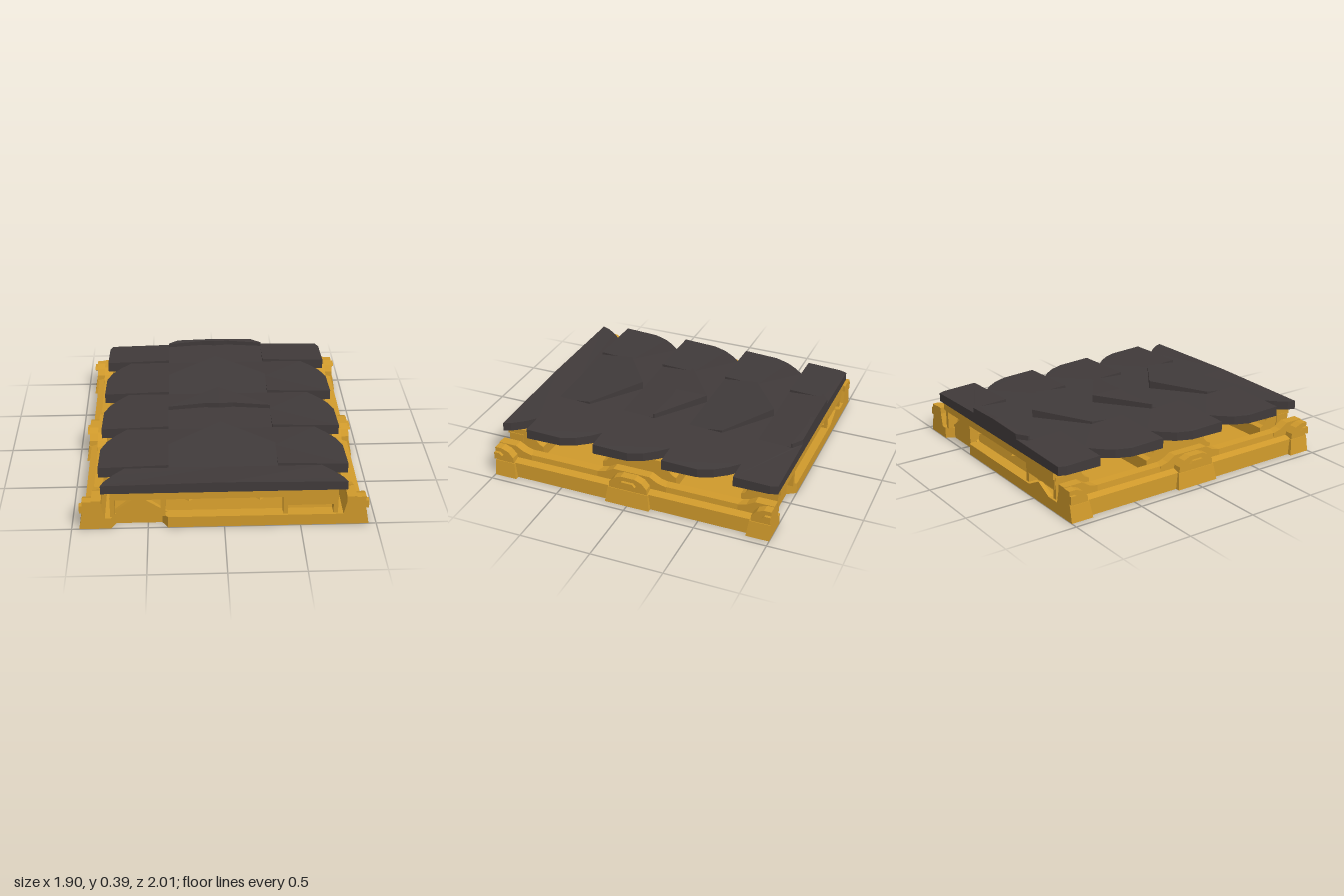
import * as THREE from 'three';

const gold = new THREE.MeshStandardMaterial({ color: 0xcf992b, flatShading: true });
gold.name = 'gold frame';
const dark = new THREE.MeshStandardMaterial({ color: 0x403a3a, flatShading: true });
dark.name = 'dark plates';

function add(parent, name, geometry, material) {
  const mesh = new THREE.Mesh(geometry, material);
  mesh.name = name;
  parent.add(mesh);
  return mesh;
}

function box(parent, name, x0, x1, y0, y1, z0, z1) {
  const g = new THREE.BoxGeometry(x1 - x0, y1 - y0, z1 - z0);
  g.translate((x0 + x1) / 2, (y0 + y1) / 2, (z0 + z1) / 2);
  return add(parent, name, g, gold);
}

const shapeOf = (pts) => new THREE.Shape(pts.map(([a, b]) => new THREE.Vector2(a, b)));
const extrude = (pts, depth) =>
  new THREE.ExtrudeGeometry(shapeOf(pts), { depth, bevelEnabled: false });

// Profile in (x, y), extruded along z
const alongZ = (pts, z0, z1) => extrude(pts, z1 - z0).translate(0, 0, z0);

// Profile in (z, y), extruded along x
const alongX = (pts, x0, x1) =>
  extrude(pts.map(([z, y]) => [-z, y]), x1 - x0).rotateY(Math.PI / 2).translate(x0, 0, 0);

// Outline in (x, z) with a flat bottom and a top height given by a rule
function slab(pts, bottom, top) {
  const g = extrude(pts.map(([x, z]) => [x, -z]), 1).rotateX(-Math.PI / 2);
  const p = g.attributes.position;
  for (let i = 0; i < p.count; i++) {
    p.setY(i, p.getY(i) > 0.5 ? top(p.getX(i), p.getZ(i)) : bottom);
  }
  g.computeVertexNormals();
  return g;
}

// Cut a polygon to lo <= coordinate <= hi on the given axis
function clip(pts, axis, lo, hi) {
  for (const [limit, s] of [[lo, 1], [hi, -1]]) {
    const out = [];
    pts.forEach((a, i) => {
      const b = pts[(i + 1) % pts.length];
      const da = s * (a[axis] - limit), db = s * (b[axis] - limit);
      if (da >= 0) out.push(a);
      if ((da > 0 && db < 0) || (da < 0 && db > 0)) {
        const t = da / (da - db);
        out.push([a[0] + t * (b[0] - a[0]), a[1] + t * (b[1] - a[1])]);
      }
    });
    pts = out;
  }
  return pts;
}

// One overlapping plate: side wings plus a pointed tongue, mirrored about x = 0
function plate(parent, front, stepped, notched) {
  const group = new THREE.Group();
  group.name = 'overlappingPlate';
  parent.add(group);
  const m = front - 0.5;
  const wing = [[0, m], [0.65, m], [0.72, m + 0.07], [0.78, m + 0.15], [0.82, m + 0.25], [0.825, front],
    ...(notched ? [[0.36, front], [0.36, front - 0.25]] : [[0, front]])];
  const tongue = [[0, m - 0.5], [0.36, m - 0.25], [0.36, m], [0, m]];
  const point = [[0, m - 0.5], [0.36, m - 0.25], [0.36, m - 0.24], [0.1, m - 0.27], [0, m - 0.26]];
  const parts = [
    ['plateWings', wing, (x, z) => 0.335 + 0.04 * (z - m) - 0.08 * Math.max(0, Math.abs(x) - 0.65)],
    ['plateTongue', tongue, (x, z) => 0.335 + (stepped ? 0.06 : 0.11) * (m - z)],
  ];
  if (stepped) parts.push(['raisedPoint', point, (x) => 0.388 - 0.03 * Math.abs(x)]);
  for (const [name, pts, top] of parts) {
    const cut = clip(pts, 1, -1, 1);
    if (cut.length < 3) continue;
    for (const s of [1, -1]) {
      add(group, name, slab(cut.map(([x, z]) => [s * x, z]), 0.27, top), dark);
    }
  }
}

// Cross beam under the plates at one end, open towards +z
function endBeam(parent, flank) {
  const g = new THREE.Group();
  g.name = 'endBeam';
  parent.add(g);
  add(g, 'beamBack', alongX([...flank, [0.88, 0.27], [0.92, 0.08]], -0.74, 0.74), gold);
  box(g, 'beamCap', -0.74, 0.74, 0.22, 0.27, 0.82, 1);
  for (const s of [1, -1]) {
    for (const x of [0.4, 0.73]) {
      box(g, 'beamPost', s * x - 0.015, s * x + 0.015, 0.08, 0.23, 0.88, 0.985);
    }
    const spike = add(g, 'spike', new THREE.ConeGeometry(0.045, 0.08, 4), gold);
    spike.position.set(s * 0.23, 0.245, 0.96);
  }
  box(g, 'windowLintel', 0.41, 0.74, 0.15, 0.23, 0.88, 0.99);
  // Gabled socket behind the notch
  add(g, 'socketGable', alongZ(
    [[-0.74, 0], [-0.37, 0], [-0.37, 0.08], [-0.56, 0.21], [-0.74, 0.08]], 0.8, 0.94), gold);
  return g;
}

export function createModel() {
  const root = new THREE.Group();
  root.name = 'platedFloorTile';
  const frame = new THREE.Group();
  frame.name = 'frame';
  root.add(frame);

  // Floor slab with one notch at each end
  const half = [[-0.85, 1], [-0.74, 1], [-0.67, 0.87], [-0.45, 0.87], [-0.37, 1], [0.85, 1]];
  add(frame, 'floorSlab', slab([...half, ...half.map(([x, z]) => [-x, -z])], 0, () => 0.08), gold);
  add(frame, 'backTab', alongZ(
    [[-0.7, 0], [-0.42, 0], [-0.42, 0.07], [-0.56, 0.14], [-0.7, 0.07]], -1, -0.97), gold);

  // Middle and end cross beams
  const side = [[-0.27, 0.08], [-0.27, 0.165], [-0.24, 0.18], [-0.215, 0.21], [-0.2, 0.27]];
  const mirrored = side.map(([z, y]) => [-z, y]).reverse();
  add(frame, 'middleBeam', alongX([...side, ...mirrored], -0.74, 0.74), gold);
  const flank = side.map(([z, y]) => [z + 1, y]);
  endBeam(frame, flank);
  endBeam(frame, flank).rotation.y = Math.PI;

  // Side rails with humps, clips and bolts; end ones are cut at the tile edge
  const rail = [[0.78, 0], [0.92, 0], [0.915, 0.11], [0.865, 0.125], [0.86, 0.165], [0.8, 0.17], [0.78, 0.08]];
  const hump = [[-0.25, 0.1], [-0.25, 0.165], [-0.19, 0.18], [-0.13, 0.215],
    [0.13, 0.215], [0.19, 0.18], [0.25, 0.165], [0.25, 0.1]];
  const foot = [[-0.16, 0], [-0.145, 0.11], [0.145, 0.11], [0.16, 0]];
  const arch = [[-0.14, 0.1], [-0.135, 0.15], [-0.1, 0.19], [-0.05, 0.21],
    [0.05, 0.21], [0.1, 0.19], [0.135, 0.15], [0.14, 0.1]];
  const bolt = [[-0.06, 0.16], [-0.04, 0.18], [0.04, 0.18], [0.06, 0.16], [0, 0.125]];
  for (const s of [1, -1]) {
    add(frame, 'sideRail', alongZ(rail.map(([x, y]) => [s * x, y]), -1, 1), gold);
    for (const c of [-1, 0, 1]) {
      const piece = (name, pts, x0, x1) => {
        const cut = clip(pts.map(([z, y]) => [z + c, y]), 0, -1, 1);
        return add(frame, name, alongX(cut, s > 0 ? x0 : -x1, s > 0 ? x1 : -x0), gold);
      };
      piece('railHump', hump, 0.8, 0.865);
      piece('clipArch', arch, 0.85, 0.925);
      piece('clipBolt', bolt, 0.92, 0.945);
      // Clip foot leans out towards the ground
      const p = piece('clipFoot', foot, 0.86, 0.95).geometry;
      const v = p.attributes.position;
      for (let i = 0; i < v.count; i++) {
        if (Math.abs(v.getX(i)) > 0.9 && v.getY(i) > 0.05) v.setX(i, s * 0.93);
      }
      p.computeVertexNormals();
    }
  }

  // Rows of plates
  const plates = new THREE.Group();
  plates.name = 'plates';
  root.add(plates);
  [-0.7, -0.2, 0.3, 0.8, 1.3].forEach((front, i) => plate(plates, front, i % 2 === 1, i < 4));
  return root;
}
